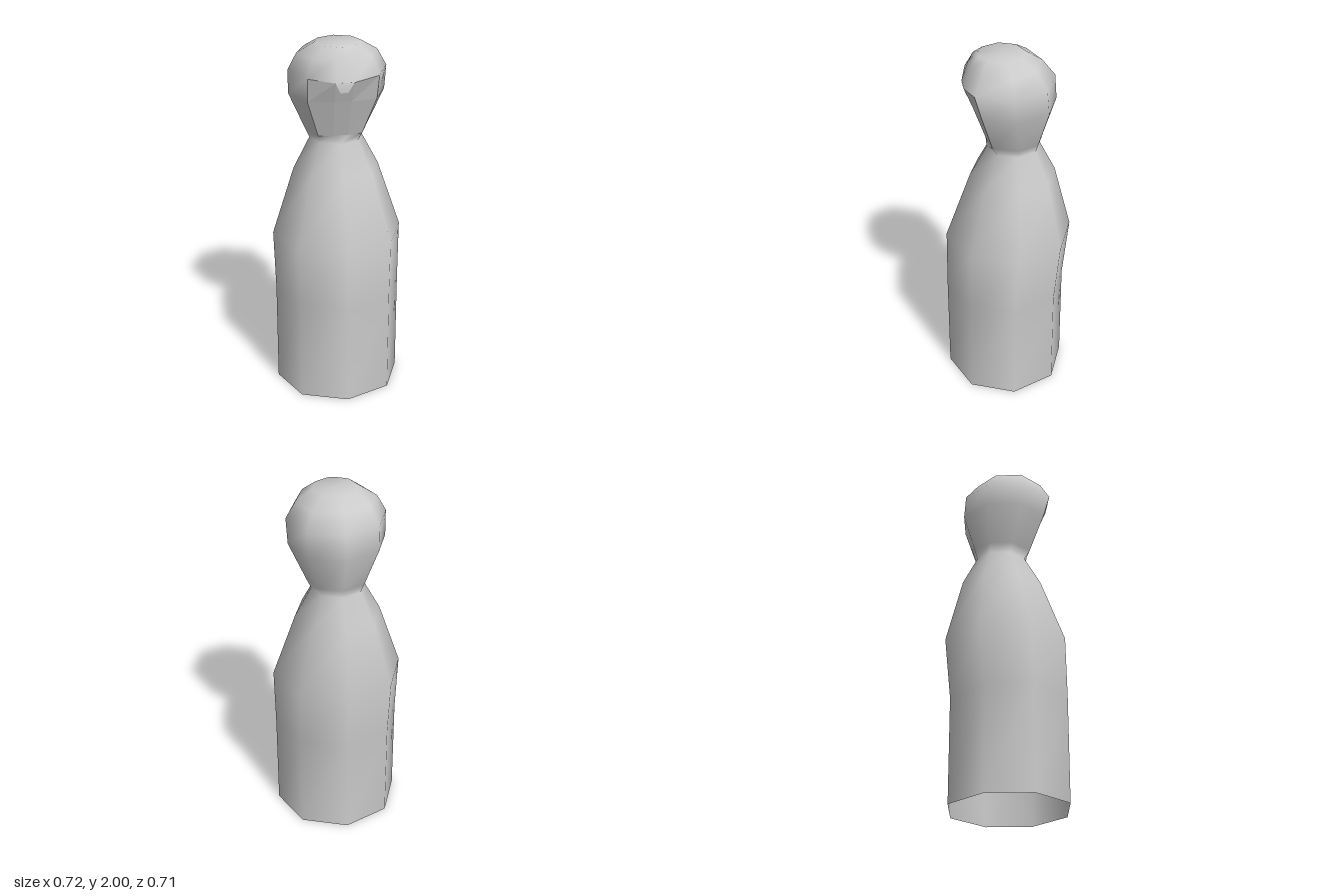
import * as THREE from 'three';

// Ring: height, half width, front z, back z, side z, half width of front edge,
// how square the front corners are, drop of the front edge
const RINGS = [
  [0.00, 0.352, 0.353, -0.32, 0.02, 0, 0.71, 0],
  [0.58, 0.352, 0.352, -0.32, 0.02, 0, 0.71, 0],
  [0.92, 0.36, 0.347, -0.355, 0, 0, 0.71, 0],
  [1.29, 0.235, 0.21, -0.26, -0.025, 0, 0.71, 0],
  [1.46, 0.145, 0.115, -0.175, -0.03, 0, 0.71, 0],
  [1.51, 0.168, 0.115, -0.19, -0.03, 0.04, 0.9, 0],
  [1.72, 0.26, 0.19, -0.26, -0.005, 0.045, 0.86, 0],
  [1.855, 0.265, 0.235, -0.25, 0.015, 0.05, 0.84, 0.02],
  [1.945, 0.215, 0.2, -0.18, 0.01, 0.04, 0.78, 0],
  [2.00, 0.125, 0.155, -0.095, 0.03, 0.02, 0.71, 0],
];
const NECK = 4, CHIN = 5, HAIRLINE = 7, COLS = 9;

export function createModel() {
  const model = new THREE.Group();
  const mat = new THREE.MeshStandardMaterial({ color: 0xcccccc, side: THREE.DoubleSide });
  const flat = mat.clone();
  flat.flatShading = true;

  // Octagonal rings whose front corner opens into a short edge on the head
  const points = [];
  for (const [y, rx, zf, zb, c, s, square, drop] of RINGS) {
    for (let i = 0; i < COLS; i++) {
      if (i === 0 || i === 8) {
        points.push(i ? -s : s, y - drop, zf);
        continue;
      }
      const a = i * Math.PI / 4, k = Math.cos(a);
      const z = i === 1 || i === 7 ? c + square * (zf - c) : c + k * (c - zb);
      points.push(rx * Math.sin(a), y, z);
    }
  }
  const top = points.length / 3;
  points.push(0, 2, 0.03);

  // Shared corners use one index, so the shading stays smooth
  const id = (j, i) => j * COLS + (i === 8 && RINGS[j][5] === 0 ? 0 : i % COLS);
  const body = [], head = [], face = [];
  for (let j = 0; j < RINGS.length - 1; j++) {
    for (let i = 0; i < COLS; i++) {
      const front = i === 0 || i >= 7;
      const list = j < NECK ? body : front && j >= CHIN && j < HAIRLINE ? face : head;
      const a = id(j, i), b = id(j, i + 1), c = id(j + 1, i + 1), d = id(j + 1, i);
      if (a !== b) list.push(a, b, c);
      if (c !== d) list.push(a, c, d);
    }
  }
  const last = RINGS.length - 1;
  for (let i = 0; i < COLS; i++) head.push(id(last, i), id(last, i + 1), top);

  // Normals are found across body and head together
  const shell = new THREE.BufferGeometry();
  shell.setAttribute('position', new THREE.Float32BufferAttribute(points, 3));
  shell.setIndex([...body, ...head]);
  shell.computeVertexNormals();

  const addPart = (name, index, material) => {
    let geo = shell.clone();
    geo.setIndex(index);
    if (material === flat) {
      geo = geo.toNonIndexed();
      geo.computeVertexNormals();
    }
    const mesh = new THREE.Mesh(geo, material);
    mesh.name = name;
    model.add(mesh);
  };
  addPart('body', body, mat);
  addPart('head', head, mat);
  addPart('face', face, flat);

  // Small pointed fringe in the middle of the hairline
  const fringe = new THREE.BufferGeometry();
  fringe.setAttribute('position', new THREE.Float32BufferAttribute([
    -0.05, 1.835, 0.236, 0.05, 1.835, 0.236, 0.02, 1.775, 0.215, -0.02, 1.775, 0.215,
  ], 3));
  fringe.setAttribute('normal', new THREE.Float32BufferAttribute([
    0, 0.2, 0.98, 0, 0.2, 0.98, 0, 0, 1, 0, 0, 1,
  ], 3));
  fringe.setIndex([0, 2, 1, 0, 3, 2]);
  const fringeMesh = new THREE.Mesh(fringe, mat);
  fringeMesh.name = 'fringe';
  model.add(fringeMesh);

  return model;
}
